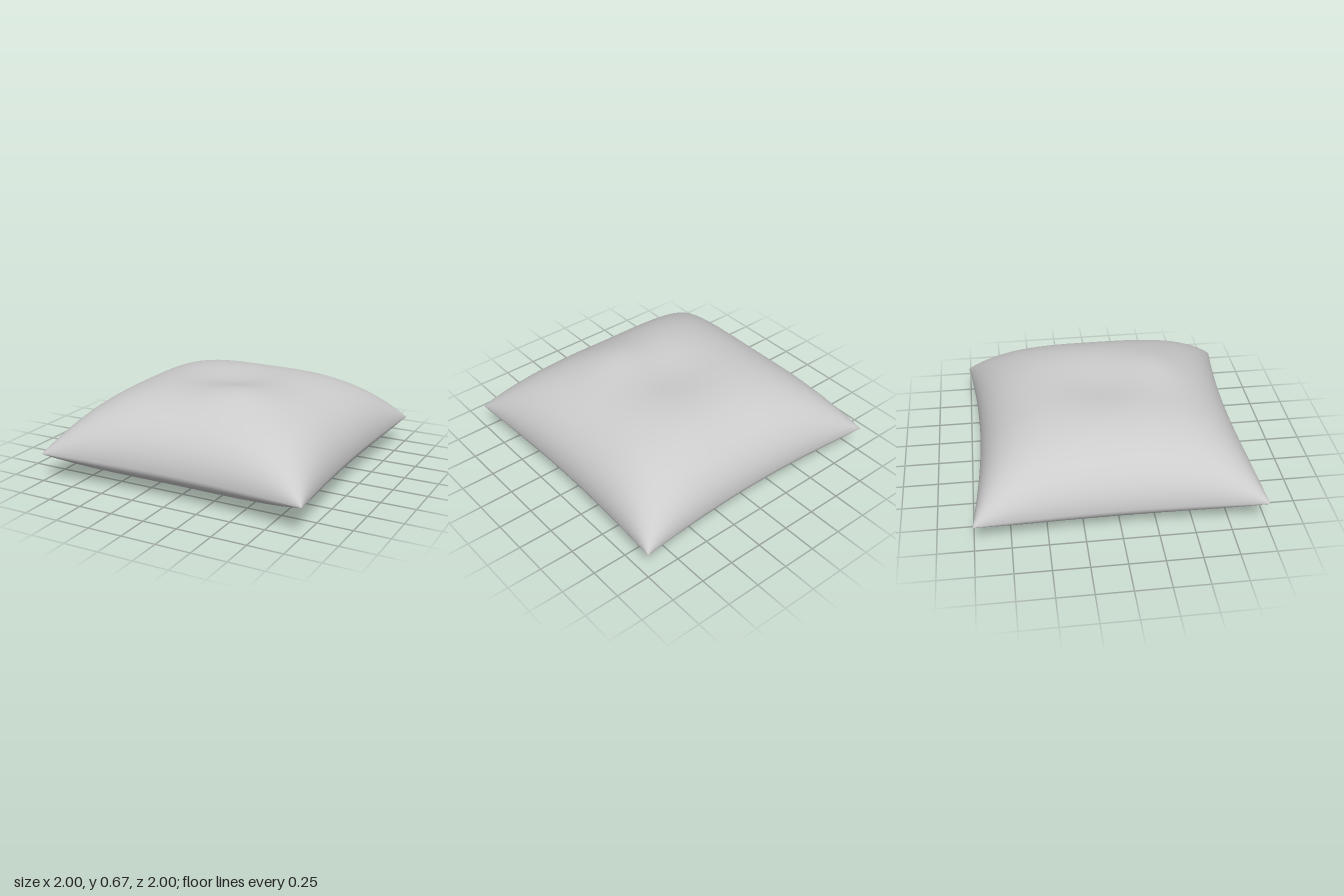
import * as THREE from 'three';
import { mergeGeometries, mergeVertices } from 'three/addons/utils/BufferGeometryUtils.js';

const SEAM = 0.2; // height of the seam all around
const SEGMENTS = 40;

// Puffed profile: flat in the middle, steep at the seam
const puff = (t) => Math.sqrt(Math.max(0, 1 - Math.abs(t) ** 3));
const blob = (x, z, cx, cz, r) => Math.exp(-((x - cx) ** 2 + (z - cz) ** 2) / (r * r));

// One side of the cushion: a grid squeezed toward the seam, bowed in along its edges
function panel(side) {
  const geometry = new THREE.PlaneGeometry(2, 2, SEGMENTS, SEGMENTS).rotateX(-side * Math.PI / 2);
  geometry.deleteAttribute('uv');
  geometry.deleteAttribute('normal');
  const p = geometry.attributes.position;
  for (let i = 0; i < p.count; i++) {
    const u = Math.sin(p.getX(i) * Math.PI / 2);
    const v = Math.sin(p.getZ(i) * Math.PI / 2);
    const x = u * (1 - 0.05 * (1 - v * v));
    const z = v * (1 - 0.073 * (1 - u * u));
    const swell = puff(u) * puff(v);
    // The top has a soft dent in the middle and a small rise toward the front
    const height = side > 0
      ? 0.455 - 0.04 * blob(x, z, 0, -0.03, 0.3) + 0.035 * blob(x, z, 0.18, 0.36, 0.25)
      : 0.2;
    p.setXYZ(i, x, SEAM + side * height * swell, z);
  }
  return geometry;
}

export function createModel() {
  const fabric = new THREE.MeshStandardMaterial({ color: 0xcccccc });
  fabric.name = 'grey fabric';

  // Weld both panels along the seam so the shading stays soft
  const geometry = mergeVertices(mergeGeometries([panel(1), panel(-1)]), 1e-5);
  geometry.computeVertexNormals();

  const cushion = new THREE.Mesh(geometry, fabric);
  cushion.name = 'cushion';
  const group = new THREE.Group();
  group.name = 'pillow';
  group.add(cushion);
  return group;
}
